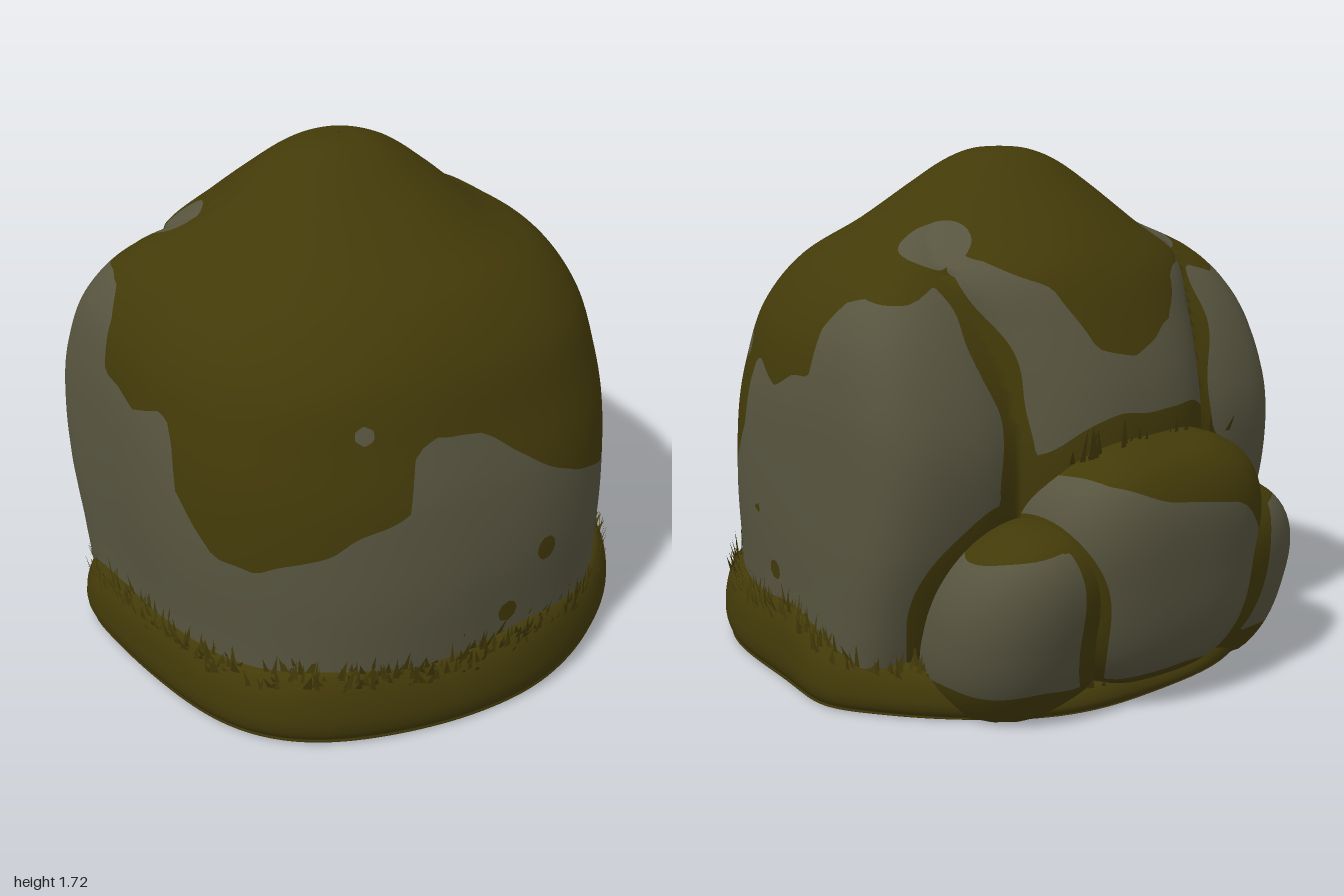
import * as THREE from 'three';
import { ParametricGeometry } from 'three/addons/geometries/ParametricGeometry.js';

const V = (x, y, z) => new THREE.Vector3(x, y, z);

// small seeded random generator
function seeded(s) {
  return () => ((s = (s * 16807) % 2147483647) / 2147483647);
}

// soft bumpy noise, about -1..1
const noise = (p, k) =>
  (Math.sin(p.x * k + 1.3 * Math.sin(p.y * k * 0.9)) + Math.sin(p.y * k * 1.2 + 2 + Math.sin(p.z * k))
    + Math.sin(p.z * k * 1.1 + 4 + Math.sin(p.x * k * 1.3))) / 3;

// linear lookup in a list of [key, value]
function lookup(table, k) {
  for (let i = 1; i < table.length; i++) {
    const [k0, v0] = table[i - 1], [k1, v1] = table[i];
    if (k <= k1) return v0 + (v1 - v0) * Math.max(0, (k - k0) / (k1 - k0));
  }
  return table[table.length - 1][1];
}

// radius of a rounded outline of half width w and depth d at angle a (0 = front)
const oval = (a, w, d, n) =>
  Math.pow(Math.abs(Math.sin(a) / w) ** n + Math.abs(Math.cos(a) / d) ** n, -1 / n);

// main rock: height, half width, front depth, back core half width, back core depth, side slab depth
const profile = [
  [0.03, 0.85, 0.88, 0.55, 0.68, 0.42], [0.3, 0.86, 0.9, 0.56, 0.72, 0.52], [0.55, 0.87, 0.91, 0.57, 0.75, 0.6],
  [0.8, 0.86, 0.88, 0.58, 0.77, 0.62], [1.0, 0.84, 0.82, 0.58, 0.74, 0.58], [1.2, 0.79, 0.75, 0.6, 0.66, 0.49],
  [1.36, 0.67, 0.63, 0.6, 0.57, 0.37], [1.48, 0.46, 0.47, 0.45, 0.45, 0.2], [1.6, 0.31, 0.29, 0.31, 0.3, 0.1],
  [1.68, 0.2, 0.17, 0.2, 0.19, 0.06], [1.72, 0.1, 0.09, 0.1, 0.1, 0.03], [1.73, 0.003, 0.003, 0.003, 0.003, 0.003],
];
const curveA = new THREE.CatmullRomCurve3(profile.map(p => V(p[1], p[0], p[2])), false, 'catmullrom');
const curveB = new THREE.CatmullRomCurve3(profile.map(p => V(p[3], p[4], p[5])), false, 'catmullrom');

// height, radius and closeness to the crack between slab and core
function rockSection(u, v) {
  const a = u * Math.PI * 2, A = curveA.getPoint(v), B = curveB.getPoint(v).clampScalar(0.003, 9);
  const w = Math.max(A.x, 0.003);
  if (Math.cos(a) > 0) return { a, y: A.y, r: oval(a, w, Math.max(A.z, 0.003), 2.5 - 0.4 * v), gap: 9 };
  const slab = oval(a, w, B.z, 6), core = oval(a, B.x, B.y, 2.6 - 0.6 * v);
  return { a, y: A.y, r: Math.max(slab, core), gap: Math.abs(slab - core) + 2 * Math.max(0, A.y - 1.36) };
}

function rockPoint(u, v, target) {
  const { a, y, r, gap } = rockSection(u, v);
  target.set(Math.sin(a) * r, y, Math.cos(a) * r);
  const k = r * (1 + 0.014 * noise(target, 5) - 0.03 * Math.exp(-((gap / 0.06) ** 2)));
  target.set(Math.sin(a) * k, y, Math.cos(a) * k);
}

// boulders leaning against the back; lean shifts them backward with height
const middle = { name: 'middleBoulder', c: V(-0.03, 0.46, -0.68), r: V(0.43, 0.42, 0.31), n: 2.7, lean: 0.06 };
const sides = [1, -1].map(s => ({
  name: s > 0 ? 'leftBoulder' : 'rightBoulder', c: V(s * 0.39, 0.28, -0.61), r: V(0.32, 0.35, 0.28), n: 2.3, lean: 0.25,
}));

// 1 on a boulder's surface, larger outside; d is measured from its centre
function levelFrom(b, d) {
  const z = d.z + b.lean * d.y;
  return Math.pow(Math.abs(d.x / b.r.x) ** b.n + Math.abs(d.y / b.r.y) ** b.n + Math.abs(z / b.r.z) ** b.n, 1 / b.n);
}
const level = (b, p) => levelFrom(b, p.clone().sub(b.c));

function boulderGeometry(b) {
  return new ParametricGeometry((u, v, target) => {
    const a = u * Math.PI * 2, e = (0.002 + v * 0.996 - 0.5) * Math.PI;
    const d = V(Math.sin(a) * Math.cos(e), Math.sin(e), Math.cos(a) * Math.cos(e));
    target.copy(b.c).addScaledVector(d, 1 / levelFrom(b, d));
    target.addScaledVector(d, 0.02 * noise(target, 7));
    target.y = Math.max(target.y, 0.015);
    target.z = Math.max(target.z, -1);
  }, 72, 48);
}

// lower edge of the moss cap: angle from front in degrees, height
const flank = [[57, 0.65], [67, 0.82], [69, 1.02], [73, 1.06], [83, 1.0], [90, 1.04], [97, 1.05], [99, 1.2], [104, 1.29], [110, 1.31], [122, 1.29]];
const mossLeft = [[0, 1.0], [8, 0.92], [19, 0.8], [32, 0.72], [46, 0.61], ...flank, [129, 1.44], [137, 1.42], [158, 1.32], [168, 1.15], [180, 1.12]];
const mossRight = [[0, 1.0], [11, 1.04], [16, 1.0], [18, 0.83], [29, 0.75], [39, 0.67], [48, 0.61], ...flank, [131, 1.38], [151, 1.32], [162, 1.18], [180, 1.12]];
const stoneSpots = [[V(-0.37, 1.06, 0.72), 0.045], [V(0.71, 1.06, 0.42), 0.055], [V(-0.45, 1.42, -0.27), 0.1], [V(0.44, 1.43, -0.24), 0.12]];
const mossSpots = [[V(0.24, 0.53, 0.88), 0.045], [V(0.08, 0.35, 0.9), 0.04], [V(0.87, 0.55, 0.23), 0.03], [V(0.87, 0.36, 0.12), 0.04]];

function rockMoss(p, u, v) {
  const a = THREE.MathUtils.radToDeg(Math.atan2(p.x, p.z));
  let f = p.y - lookup(a > 0 ? mossLeft : mossRight, Math.abs(a)) + 0.02 * noise(p, 19);
  for (const [c, r] of stoneSpots) f = Math.min(f, p.distanceTo(c) - r);
  for (const [c, r] of mossSpots) f = Math.max(f, r - p.distanceTo(c));
  for (const b of [middle, ...sides]) f = Math.max(f, (1.16 + 0.05 * noise(p, 14) - level(b, p)) * 0.35);
  return Math.max(f, 0.042 + 0.02 * noise(p, 14) - rockSection(u, v).gap);
}

// cuts a surface along field = 0 into a moss part and a stone part
function paint(name, geo, field, moss, stone) {
  const group = new THREE.Group();
  group.name = name;
  const { position, normal, uv } = geo.attributes, idx = geo.index;
  const verts = [];
  for (let i = 0; i < position.count; i++) {
    const p = V(0, 0, 0).fromBufferAttribute(position, i);
    verts.push({ p, n: V(0, 0, 0).fromBufferAttribute(normal, i), f: field(p, uv.getX(i), uv.getY(i)) });
  }
  for (const [s, mat] of [[1, moss], [-1, stone]]) {
    const P = [], N = [];
    for (let i = 0; i < idx.count; i += 3) {
      const poly = [];
      for (let k = 0; k < 3; k++) {
        const A = verts[idx.getX(i + k)], B = verts[idx.getX(i + (k + 1) % 3)];
        if (s > 0 ? A.f >= 0 : A.f < 0) poly.push(A);
        if ((A.f >= 0) !== (B.f >= 0)) {
          const t = A.f / (A.f - B.f);
          poly.push({ p: A.p.clone().lerp(B.p, t), n: A.n.clone().lerp(B.n, t) });
        }
      }
      for (let k = 2; k < poly.length; k++) for (const w of [poly[0], poly[k - 1], poly[k]]) {
        P.push(w.p.x, w.p.y, w.p.z);
        N.push(w.n.x, w.n.y, w.n.z);
      }
    }
    const g = new THREE.BufferGeometry();
    g.setAttribute('position', new THREE.Float32BufferAttribute(P, 3));
    g.setAttribute('normal', new THREE.Float32BufferAttribute(N, 3));
    const mesh = new THREE.Mesh(g, mat);
    mesh.name = name + (s > 0 ? 'Moss' : 'Stone');
    group.add(mesh);
  }
  return group;
}

// moss skirt around the foot: [radius factor, share of height]
const skirtProfile = [[0.002, 0], [0.5, 0], [0.93, 0], [0.98, 0.08], [1.0, 0.3], [0.995, 0.6], [0.975, 0.85], [0.94, 1], [0.86, 1.02]];
const skirtCurve = new THREE.CatmullRomCurve3(skirtProfile.map(([r, h]) => V(r, h, 0)), false, 'catmullrom');
function skirtPoint(u, v, target) {
  const a = u * Math.PI * 2, c = skirtCurve.getPoint(v), back = Math.max(0, -Math.cos(a));
  const height = 0.255 - 0.17 * back + 0.01 * Math.sin(a * 9);
  const bulge = 1 + 0.01 * Math.sin(a * 7 + 1) + 0.03 * Math.exp(-(((Math.abs(a - Math.PI) - 1.3) / 0.15) ** 2));
  const r = c.x * bulge * oval(a, 0.91, back > 0 ? 0.83 : 0.96, back > 0 ? 2.1 : 2.4);
  target.set(Math.sin(a) * r, 0.008 + height * Math.max(0, c.y), Math.cos(a) * r);
}

// tufts of thin triangular blades
function grassGeometry() {
  const rnd = seeded(77), P = [];
  const blade = (base, a, h, w, lean) => {
    const t = V(Math.cos(a), 0, -Math.sin(a)).multiplyScalar(w), out = V(Math.sin(a), 0, Math.cos(a));
    const tip = base.clone().addScaledVector(out, lean).addScaledVector(t, (rnd() - 0.5) * 4);
    tip.y += h;
    for (const q of [base.clone().sub(t), base.clone().add(t), tip]) P.push(q.x, q.y, q.z);
  };
  const b = V(0, 0, 0);
  for (let i = 0; i < 900; i++) {
    const u = rnd(), a = u * Math.PI * 2;
    skirtPoint(u, 0.72 + rnd() * 0.2, b);
    b.y -= 0.02;
    blade(b, a, 0.03 + rnd() * 0.07, 0.008 + rnd() * 0.011, (rnd() - 0.35) * 0.04);
  }
  // sparse tufts behind the back boulder
  for (let i = 0; i < 16; i++) {
    blade(V((rnd() - 0.5) * 0.7, 0.83, -0.77 - rnd() * 0.03), Math.PI, 0.04 + rnd() * 0.08, 0.012, 0.01);
  }
  const g = new THREE.BufferGeometry();
  g.setAttribute('position', new THREE.Float32BufferAttribute(P, 3));
  g.computeVertexNormals();
  return g;
}

export function createModel() {
  const moss = new THREE.MeshStandardMaterial({ color: 0x433a09, side: THREE.DoubleSide });
  moss.name = 'moss';
  const stone = new THREE.MeshStandardMaterial({ color: 0x57543f });
  stone.name = 'stone';
  const model = new THREE.Group();
  model.name = 'mossyRock';

  model.add(paint('mainRock', new ParametricGeometry(rockPoint, 200, 110), rockMoss, moss, stone));

  // moss lies on the boulder tops, along the foot and in the joints
  const foot = p => 0.14 + 0.03 * noise(p, 13) - p.y;
  const middleMoss = p => Math.max(p.y - 0.64 - 0.35 * p.x - 0.4 * Math.max(0, -p.z - 0.88) + 0.05 * noise(p, 11), foot(p),
    ...sides.map(b => (1.06 - level(b, p)) * 0.3));
  model.add(paint(middle.name, boulderGeometry(middle), middleMoss, moss, stone));
  for (const b of sides) {
    const sideMoss = p => Math.max(p.y - 0.56 + 0.03 * noise(p, 12), foot(p), (1.1 - level(middle, p)) * 0.3);
    model.add(paint(b.name, boulderGeometry(b), sideMoss, moss, stone));
  }

  const skirt = new THREE.Mesh(new ParametricGeometry(skirtPoint, 160, 32), moss);
  skirt.name = 'mossSkirt';
  const grass = new THREE.Mesh(grassGeometry(), moss);
  grass.name = 'grassBlades';
  model.add(skirt, grass);
  return model;
}
